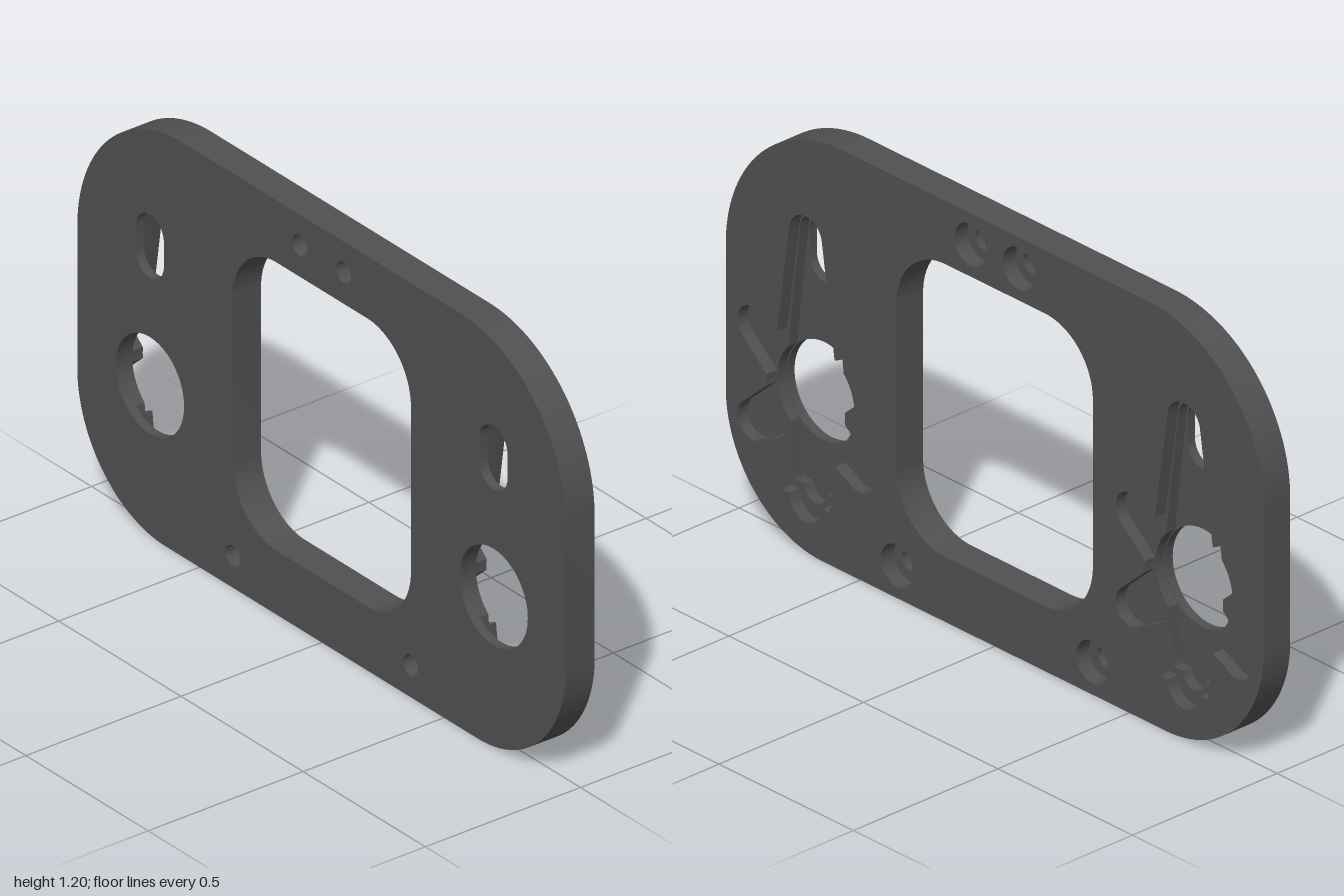
import * as THREE from 'three';
import { mergeGeometries, toCreasedNormals } from 'three/addons/utils/BufferGeometryUtils.js';

const T = 0.046;              // half thickness of the plate
const STEP = -0.01;           // floor of the star recess
const DEEP = 0.02;            // floor of the inner recess
const BORE = 0.0;             // floor of the screw counterbores
const HX = 0.703, HY = 0.438; // centre of each large hole
const HR = 0.14;

// Rounded rectangle, counter-clockwise, with separate bottom and top radii
function roundedRect(x0, y0, x1, y1, rb, rt = rb) {
  const s = new THREE.Shape();
  s.absarc(x1 - rb, y0 + rb, rb, -Math.PI / 2, 0);
  s.absarc(x1 - rt, y1 - rt, rt, 0, Math.PI / 2);
  s.absarc(x0 + rt, y1 - rt, rt, Math.PI / 2, Math.PI);
  s.absarc(x0 + rb, y0 + rb, rb, Math.PI, Math.PI * 1.5);
  const pts = s.getPoints(16);
  return pts.filter((p, i) => p.distanceTo(pts[(i + 1) % pts.length]) > 1e-5);
}

function circle(x, y, r, n = 40) {
  return Array.from({ length: n }, (_, i) => {
    const a = (i / n) * Math.PI * 2;
    return new THREE.Vector2(x + r * Math.cos(a), y + r * Math.sin(a));
  });
}

// Star outline: union of a disc and tapered, round-tipped arms, traced by angle
function star(cx, cy, disc, arms) {
  const inside = (arm, r, a) => {
    const t = r * Math.cos(a - arm.angle), s = Math.abs(r * Math.sin(a - arm.angle));
    const w = arm.w0 + (arm.w1 - arm.w0) * (t / arm.len);
    return (t >= 0 && t < arm.len && s < w) || Math.hypot(t - arm.len, s) < arm.tip;
  };
  return Array.from({ length: 360 }, (_, i) => {
    const a = (i / 360) * Math.PI * 2;
    let best = disc;
    for (const arm of arms) {
      let lo = 0, hi = 0.8;
      for (let k = 0; k < 30; k++) {
        const mid = (lo + hi) / 2;
        if (inside(arm, mid, a)) lo = mid; else hi = mid;
      }
      best = Math.max(best, lo);
    }
    return new THREE.Vector2(cx + best * Math.cos(a), cy + best * Math.sin(a));
  });
}

// Flat face with holes at depth z, facing front or back
function face(outline, holes, z, back) {
  const shape = new THREE.Shape(outline);
  shape.holes = holes.map((h) => new THREE.Path(h));
  const g = new THREE.ShapeGeometry(shape);
  g.translate(0, 0, z);
  if (back) g.index.array.reverse();
  const flat = g.toNonIndexed();
  flat.deleteAttribute('uv');
  flat.computeVertexNormals();
  return flat;
}

// Wall along a counter-clockwise outline; inward walls line an opening
function wall(outline, z0, z1, inward) {
  const pts = inward ? [...outline].reverse() : outline;
  const pos = [];
  pts.forEach((p, i) => {
    const q = pts[(i + 1) % pts.length];
    pos.push(p.x, p.y, z0, q.x, q.y, z0, q.x, q.y, z1, p.x, p.y, z0, q.x, q.y, z1, p.x, p.y, z1);
  });
  const g = new THREE.BufferGeometry();
  g.setAttribute('position', new THREE.Float32BufferAttribute(pos, 3));
  return toCreasedNormals(g, 0.5);
}

export function createModel() {
  const group = new THREE.Group();
  const material = new THREE.MeshStandardMaterial({ color: 0x505050 });
  const add = (name, parts) => {
    const mesh = new THREE.Mesh(mergeGeometries(parts), material);
    mesh.name = name;
    group.add(mesh);
  };

  const outline = roundedRect(-1, 0, 1, 1.2, 0.36, 0.43);
  const windowHole = roundedRect(-0.365, 0.185, 0.365, 1.02, 0.18);
  const frontHoles = [windowHole], backHoles = [windowHole];

  // Screw holes, counterbored from the back
  for (const [x, y] of [[-0.09, 1.11], [0.09, 1.11], [-0.363, 0.092], [0.363, 0.092]]) {
    const hole = circle(x, y, 0.03), bore = circle(x, y, 0.06);
    frontHoles.push(hole);
    backHoles.push(bore);
    add('screwHole', [
      wall(bore, -T, BORE, true), face(bore, [hole], BORE, true), wall(hole, BORE, T, true),
    ]);
  }

  // Stepped star recess with a round hole and a slot on each side
  const up = Math.PI / 2, tilt = 0.6;
  const sideArms = [tilt, Math.PI - tilt, Math.PI + tilt, -tilt].map((angle) => (
    { angle, len: 0.24, w0: 0.085, w1: 0.055, tip: 0.055 }));
  const outerArms = [
    { angle: up, len: 0.46, w0: 0.13, w1: 0.062, tip: 0.062 },
    { angle: -up, len: 0.29, w0: 0.125, w1: 0.09, tip: 0.06 },
    ...sideArms,
  ];
  const innerArms = [
    { angle: up, len: 0.45, w0: 0.115, w1: 0.06, tip: 0.06 },
    { angle: -up, len: 0.27, w0: 0.105, w1: 0.075, tip: 0.04 },
  ];
  for (const side of [-1, 1]) {
    const x = side * HX;
    const outer = star(x, HY, HR + 0.006, outerArms);
    const inner = star(x, HY, HR + 0.003, innerArms);
    const hole = circle(x, HY, HR, 72);
    const slot = roundedRect(x - 0.057, 0.75, x + 0.057, 0.933, 0.0565);
    frontHoles.push(hole, slot);
    backHoles.push(outer);
    add('starRecess', [
      wall(outer, -T, STEP, true), face(outer, [inner], STEP, true),
      wall(inner, STEP, DEEP, true), face(inner, [hole, slot], DEEP, true),
    ]);
    add('roundHole', [wall(hole, DEEP, T, true)]);
    add('slot', [wall(slot, DEEP, T, true)]);
  }

  // Plate faces, rim and central window
  add('plate', [
    face(outline, frontHoles, T, false), face(outline, backHoles, -T, true),
    wall(outline, -T, T, false), wall(windowHole, -T, T, true),
  ]);
  return group;
}
